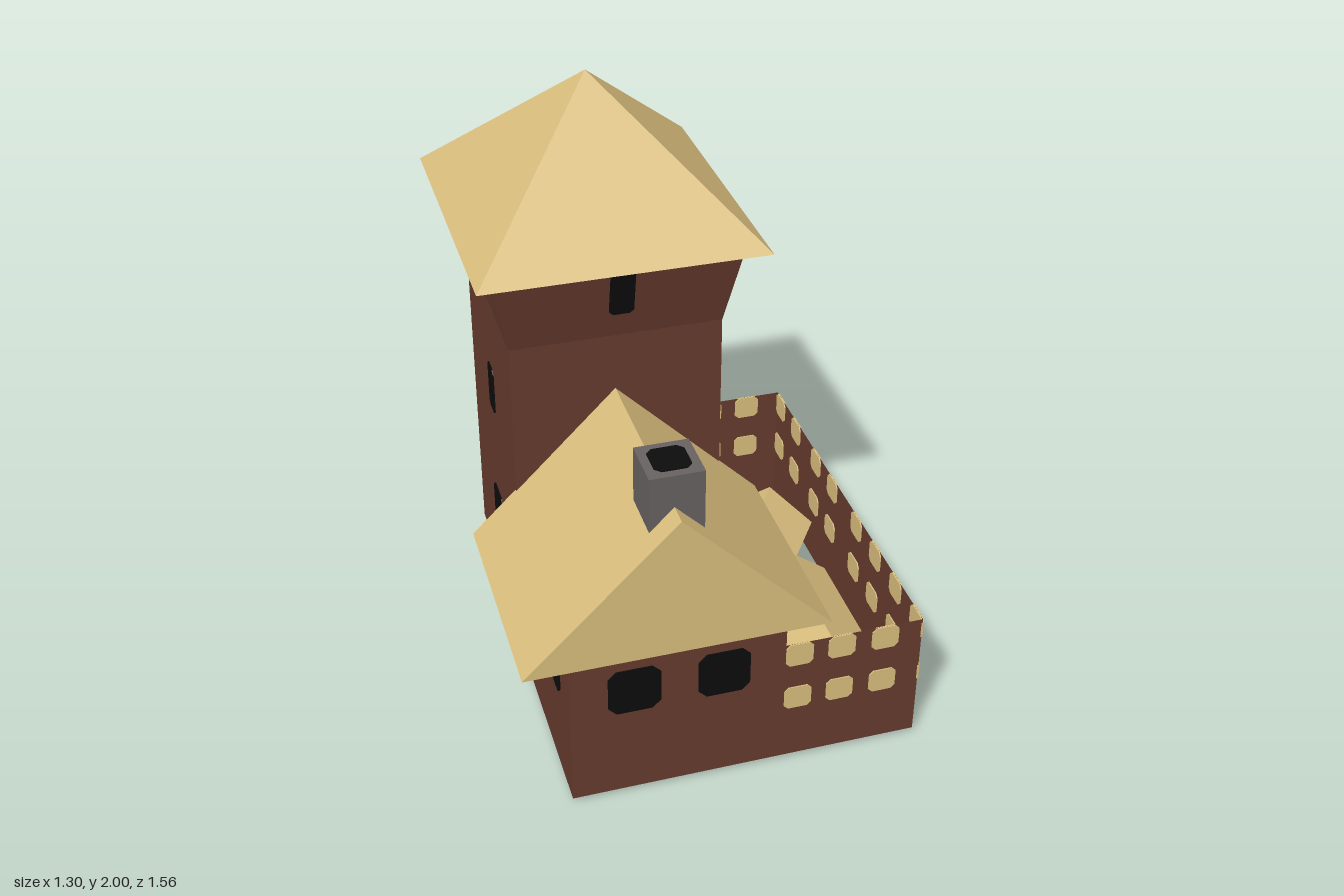
import * as THREE from 'three';

const mat = (name, color) => {
  const m = new THREE.MeshStandardMaterial({ color });
  m.name = name;
  return m;
};

export function createModel() {
  const root = new THREE.Group();
  const brick = mat('brick brown', 0x663b2d);
  const thatch = mat('thatch tan', 0xd9bd7d);
  const stone = mat('stone grey', 0x686262);
  const dark = mat('opening black', 0x0c0c0c);
  const blue = mat('blue backing', 0x5ba3cb);
  const wallMat = mat('yard wall brown', 0x663b2d);
  wallMat.side = THREE.DoubleSide;

  const add = (name, geometry, material) => {
    const mesh = new THREE.Mesh(geometry, material);
    mesh.name = name;
    root.add(mesh);
    return mesh;
  };

  // Box given by its bounds
  const box = (name, m, x0, x1, y0, y1, z0, z1) => {
    const mesh = add(name, new THREE.BoxGeometry(x1 - x0, y1 - y0, z1 - z0), m);
    mesh.position.set((x0 + x1) / 2, (y0 + y1) / 2, (z0 + z1) / 2);
    return mesh;
  };

  // Thin plate with clipped corners, facing +z before yaw and tilt
  const plate = (name, m, w, h, pos, yaw = 0, tilt = 0) => {
    const a = w / 2, b = h / 2, c = Math.min(w, h) * 0.16;
    const shape = new THREE.Shape([
      [-a + c, -b], [a - c, -b], [a, -b + c], [a, b - c],
      [a - c, b], [-a + c, b], [-a, b - c], [-a, -b + c],
    ].map(([x, y]) => new THREE.Vector2(x, y)));
    const g = new THREE.ExtrudeGeometry(shape, { depth: 0.008, bevelEnabled: false });
    g.translate(0, 0, -0.004);
    const mesh = add(name, g, m);
    mesh.position.set(...pos);
    mesh.rotation.set(tilt, yaw, 0, 'YXZ');
    return mesh;
  };

  // Prism along z from a 2D profile
  const prism = (name, m, points, depth) => {
    const shape = new THREE.Shape(points.map(([x, y]) => new THREE.Vector2(x, y)));
    const g = new THREE.ExtrudeGeometry(shape, { depth, bevelEnabled: false });
    g.translate(0, 0, -depth / 2);
    return add(name, g, m);
  };

  // Tower shaft and its flared top storey
  box('towerShaft', brick, -0.5, 0.19, 0.14, 1.25, -0.64, 0.04);
  const flare = new THREE.BoxGeometry(0.69, 0.29, 0.68);
  const p = flare.attributes.position;
  for (let i = 0; i < p.count; i++) {
    if (p.getY(i) > 0) {
      p.setX(i, p.getX(i) + Math.sign(p.getX(i)) * 0.057);
      p.setZ(i, p.getZ(i) + Math.sign(p.getZ(i)) * 0.06);
    }
  }
  flare.computeVertexNormals();
  add('towerFlare', flare, brick).position.set(-0.155, 1.395, -0.3);

  // Pyramid roof
  let pyramid = new THREE.ConeGeometry(Math.SQRT1_2, 1, 4).rotateY(Math.PI / 4);
  pyramid.scale(0.915, 0.455, 0.975);
  pyramid = pyramid.toNonIndexed();
  pyramid.computeVertexNormals();
  add('towerRoof', pyramid, thatch).position.set(-0.157, 1.7725, -0.2925);

  // Tower windows, upper ones lying on the flared walls
  const H = Math.PI / 2;
  const upper = [
    [[-0.145, 1.42, 0.075], 0], [[0.224, 1.42, -0.285], H],
    [[-0.155, 1.42, -0.675], Math.PI], [[-0.534, 1.42, -0.3], -H],
  ];
  for (const [pos, yaw] of upper) plate('upperTowerWindow', dark, 0.08, 0.17, pos, yaw, 0.2);
  plate('towerWindow', dark, 0.085, 0.17, [0.19, 0.88, -0.285], H);
  plate('towerWindow', dark, 0.085, 0.17, [-0.165, 0.88, -0.64], Math.PI);
  plate('towerWindow', dark, 0.085, 0.17, [-0.5, 0.91, -0.3], -H);
  plate('towerDoor', dark, 0.15, 0.35, [-0.5, 0.317, -0.29], -H);

  // House, with a blue rear face
  box('house', [brick, brick, brick, brick, brick, blue], -0.5, 0.19, 0.015, 0.575, 0.04, 0.735);
  const roof = prism('houseRoof', thatch, [[-0.485, 0], [0.485, 0], [0, 0.485]], 0.745);
  roof.position.set(-0.163, 0.57, 0.4025);

  // House windows and yard door
  for (const x of [-0.297, -0.01]) plate('frontWindow', dark, 0.167, 0.167, [x, 0.418, 0.735]);
  for (const z of [0.24, 0.53]) plate('sideWindow', dark, 0.165, 0.167, [-0.5, 0.418, z], -H);
  for (const z of [0.2, -0.12]) plate('yardWindow', dark, 0.155, 0.2, [0.19, 0.335, z], H);
  plate('yardDoor', dark, 0.155, 0.43, [0.19, 0.235, 0.43], H);

  // Chimney
  box('chimney', stone, -0.24, -0.07, 0.92, 1.165, 0.533, 0.703);
  plate('chimneyOpening', dark, 0.115, 0.115, [-0.155, 1.165, 0.618], 0, -H);

  // Yard walls
  const yardWall = (w, pos, yaw) => {
    const mesh = add('yardWall', new THREE.PlaneGeometry(w, 0.46), wallMat);
    mesh.position.set(...pos);
    mesh.rotation.y = yaw;
  };
  yardWall(0.455, [0.4175, 0.245, 0.735], 0);
  yardWall(0.455, [0.4175, 0.245, -0.64], Math.PI);
  yardWall(1.375, [0.645, 0.245, 0.0475], H);

  // Two rows of pale stones on the yard walls
  for (const y of [0.432, 0.257]) {
    for (const x of [0.235, 0.375, 0.52]) {
      plate('wallStone', thatch, 0.09, 0.085, [x, y, 0.735]);
      plate('wallStone', thatch, 0.09, 0.085, [x, y, -0.64]);
    }
    for (const z of [0.69, 0.52, 0.345, 0.175, -0.055, -0.22, -0.43, -0.597])
      plate('wallStone', thatch, 0.09, 0.085, [0.645, y, z], H);
  }

  // Straw bales in the yard
  const bale = [[-0.085, 0], [0.085, 0], [0.163, 0.2], [0, 0.32], [-0.163, 0.2]];
  prism('longBale', thatch, bale, 0.52).position.set(0.411, 0, 0.345);
  const shortBale = prism('shortBale', thatch, bale, 0.282);
  shortBale.position.set(0.41, 0, -0.157);
  shortBale.rotation.y = -0.61;

  return root;
}
